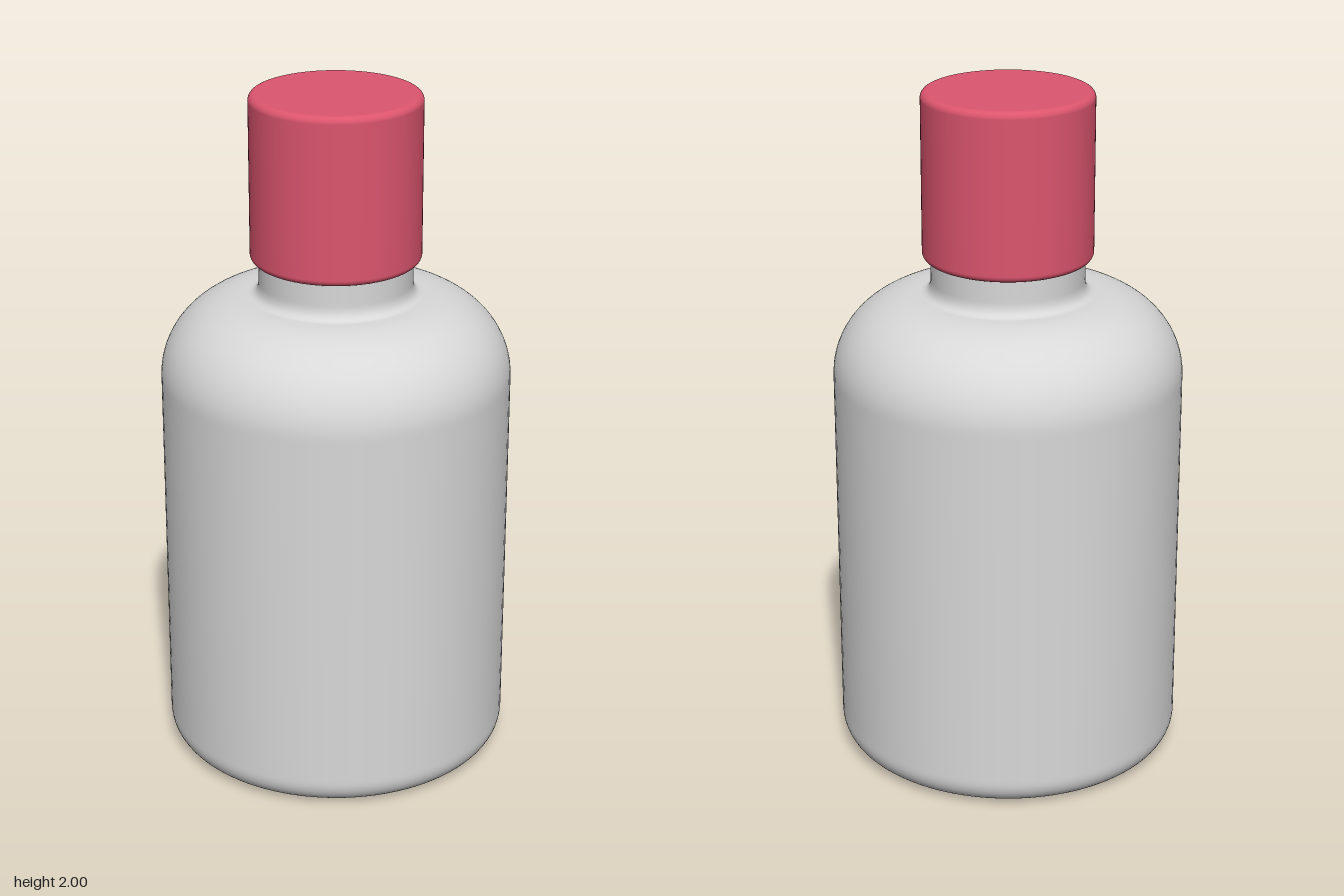
import * as THREE from 'three';

const SEGMENTS = 96;

// Revolve a path drawn from the bottom up
function revolve(path, material, name) {
  const points = path.getPoints(14);
  const mesh = new THREE.Mesh(new THREE.LatheGeometry(points, SEGMENTS), material);
  mesh.name = name;
  return mesh;
}

export function createModel() {
  const group = new THREE.Group();
  group.name = 'bottle';
  const glass = new THREE.MeshStandardMaterial({ color: 0xd8d8d8 });
  glass.name = 'light grey';
  const red = new THREE.MeshStandardMaterial({ color: 0xdc556e });
  red.name = 'rose red';

  // Body: flat base, rounded foot, straight wall, domed shoulder, flared neck
  const R = 0.505;
  const body = new THREE.Path();
  body.moveTo(0, 0);
  body.lineTo(0.42, 0);
  body.lineTo(0.425, 0);
  body.bezierCurveTo(0.47, 0.005, R, 0.035, R, 0.085);
  body.lineTo(R, 0.095);
  body.lineTo(R, 1.16);
  body.lineTo(R, 1.17);
  body.absellipse(0.25, 1.17, 0.255, 0.24, 0, Math.PI / 2, false);
  body.quadraticCurveTo(0.222, 1.413, 0.221, 1.45);
  body.lineTo(0.221, 1.46);
  body.lineTo(0.221, 1.56);
  group.add(revolve(body, glass, 'body'));

  // Cap: closed cylinder with small rounded rims
  const r = 0.245, b = 0.02, low = 1.515, top = 2;
  const cap = new THREE.Path();
  cap.moveTo(0, low);
  cap.lineTo(r - b - 0.003, low);
  cap.lineTo(r - b, low);
  cap.absarc(r - b, low + b, b, -Math.PI / 2, 0, false);
  cap.lineTo(r, low + b + 0.003);
  cap.lineTo(r, top - b - 0.003);
  cap.absarc(r - b, top - b, b, 0, Math.PI / 2, false);
  cap.lineTo(r - b - 0.003, top);
  cap.lineTo(0, top);
  group.add(revolve(cap, red, 'cap'));

  return group;
}
